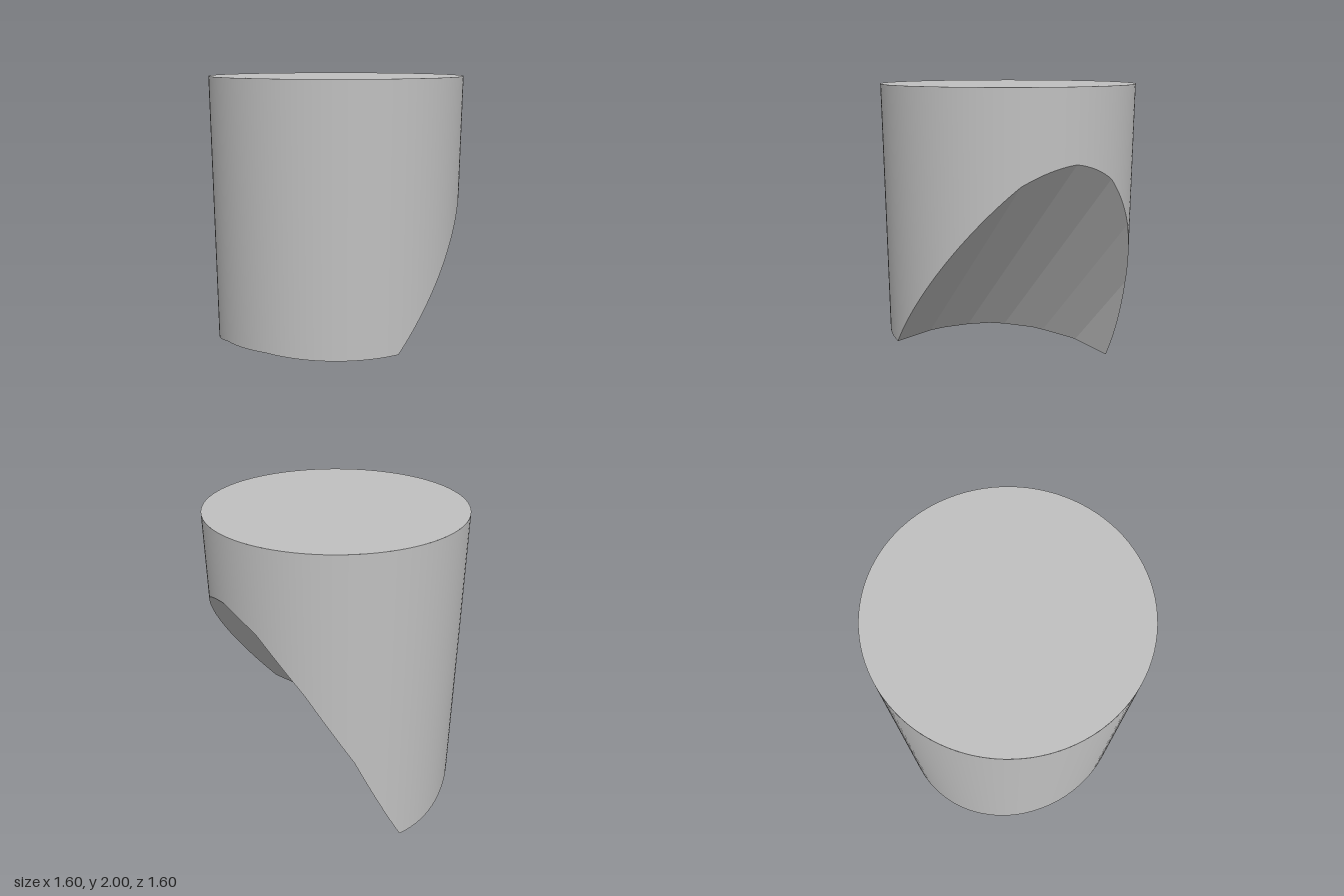
import * as THREE from 'three';

const R = 0.8, TOP = 2;
// Slanted cut is swept along (K, 1, -S)
const K = 0.74, S = 0.26;
// Height of the lower cut by z
const LOWER = [[0.8, 0.4], [0.45, 0.4], [0.1, 0.36], [-0.24, 0.27], [-0.56, 0.14], [-0.8, 0]];
// Profile of the slanted cut: x offset by sweep coordinate u = z + S * y
const SLANT = [[0.904, -0.246], [0.654, -0.335], [0.36, -0.369], [0.06, -0.355],
  [-0.264, -0.274], [-0.55, -0.163], [-0.8, 0.02]];

// Piecewise linear lookup, extended at both ends
function lookup(table, t) {
  let i = 0;
  while (i < table.length - 2 && t < table[i + 1][0]) i++;
  const [a, va] = table[i], [b, vb] = table[i + 1];
  return va + (vb - va) * (t - a) / (b - a);
}

function bisect(f, a, b) {
  const sign = Math.sign(f(a));
  for (let i = 0; i < 50; i++) {
    const m = (a + b) / 2;
    if (Math.sign(f(m)) === sign) a = m; else b = m;
  }
  return (a + b) / 2;
}

const lowerY = (z) => lookup(LOWER, z);
const uAt = (z) => z + S * lowerY(z);
const ridgeX = (z) => K * lowerY(z) + lookup(SLANT, uAt(z));

// Where a sweep line of the slanted cut meets the round wall
function quadratic(u) {
  const g = lookup(SLANT, u), a = K * K + S * S, b = K * g - S * u;
  return { g, a, b, disc: b * b - a * (g * g + u * u - R * R) };
}
function wallPoint(u, sign) {
  const { g, a, b, disc } = quadratic(u);
  const y = (-b + sign * Math.sqrt(Math.max(disc, 0))) / a;
  return [K * y + g, y, u - S * y];
}

// Strip of triangles between two rows of points
function strip(p, q, smoothWall = false) {
  const v = [];
  for (let i = 0; i < p.length - 1; i++) {
    v.push(...p[i], ...p[i + 1], ...q[i], ...q[i], ...p[i + 1], ...q[i + 1]);
  }
  const geo = new THREE.BufferGeometry();
  geo.setAttribute('position', new THREE.Float32BufferAttribute(v, 3));
  geo.computeVertexNormals();
  if (smoothWall) {
    const pos = geo.attributes.position, n = new THREE.Vector3();
    for (let i = 0; i < pos.count; i++) {
      n.set(pos.getX(i), 0, pos.getZ(i)).normalize();
      geo.attributes.normal.setXYZ(i, n.x, n.y, n.z);
    }
  }
  return geo;
}

export function createModel() {
  const group = new THREE.Group();
  const grey = new THREE.MeshStandardMaterial({ color: 0xc0c0c0 });
  grey.name = 'grey';
  const add = (name, geo) => {
    const mesh = new THREE.Mesh(geo, grey);
    mesh.name = name;
    group.add(mesh);
  };

  // Rows from front to back, with a row on every crease
  const onWall = (z) => ridgeX(z) ** 2 + z * z - R * R;
  const zFront = bisect(onWall, 0.7, 0.81), zBack = bisect(onWall, -0.7, -0.81);
  const zs = LOWER.slice(1, -1).map(([z]) => z);
  for (const [u] of SLANT.slice(1, -1)) zs.push(bisect((z) => uAt(z) - u, -0.8, 0.8));
  const N = 64;
  for (let i = 0; i <= N; i++) {
    zs.push((zFront + zBack) / 2 + (zFront - zBack) / 2 * Math.cos(Math.PI * i / N));
  }
  zs.sort((a, b) => b - a);

  const left = zs.map((z) => [-Math.sqrt(R * R - z * z), lowerY(z), z]);
  const ridge = zs.map((z) => [ridgeX(z), lowerY(z), z]);
  const right = zs.map((z) => wallPoint(uAt(z), 1));

  // Front sliver of the slanted cut, where sweep lines meet the wall twice
  const uFront = uAt(zFront);
  const uMax = bisect((u) => quadratic(u).disc, uFront, 1.1);
  const sliverLow = [], sliverHigh = [];
  const M = 16;
  for (let i = 0; i <= M; i++) {
    const u = uMax + (uFront - uMax) * (i / M) ** 2;
    sliverLow.push(wallPoint(u, -1));
    sliverHigh.push(wallPoint(u, 1));
  }

  add('lowerCut', strip(left, ridge));
  add('slantedCut', strip([...sliverLow, ...ridge], [...sliverHigh, ...right]));

  // Round wall from the cut edge up to the top
  const rim = [...left, ...[...right].reverse(), ...[...sliverHigh].reverse(), ...sliverLow, left[0]];
  const topRim = rim.map(([x, , z]) => [x, TOP, z]);
  add('roundWall', strip(topRim, rim, true));

  // Flat top
  add('topFace', new THREE.CircleGeometry(R, 96).rotateX(-Math.PI / 2).translate(0, TOP, 0));
  return group;
}
